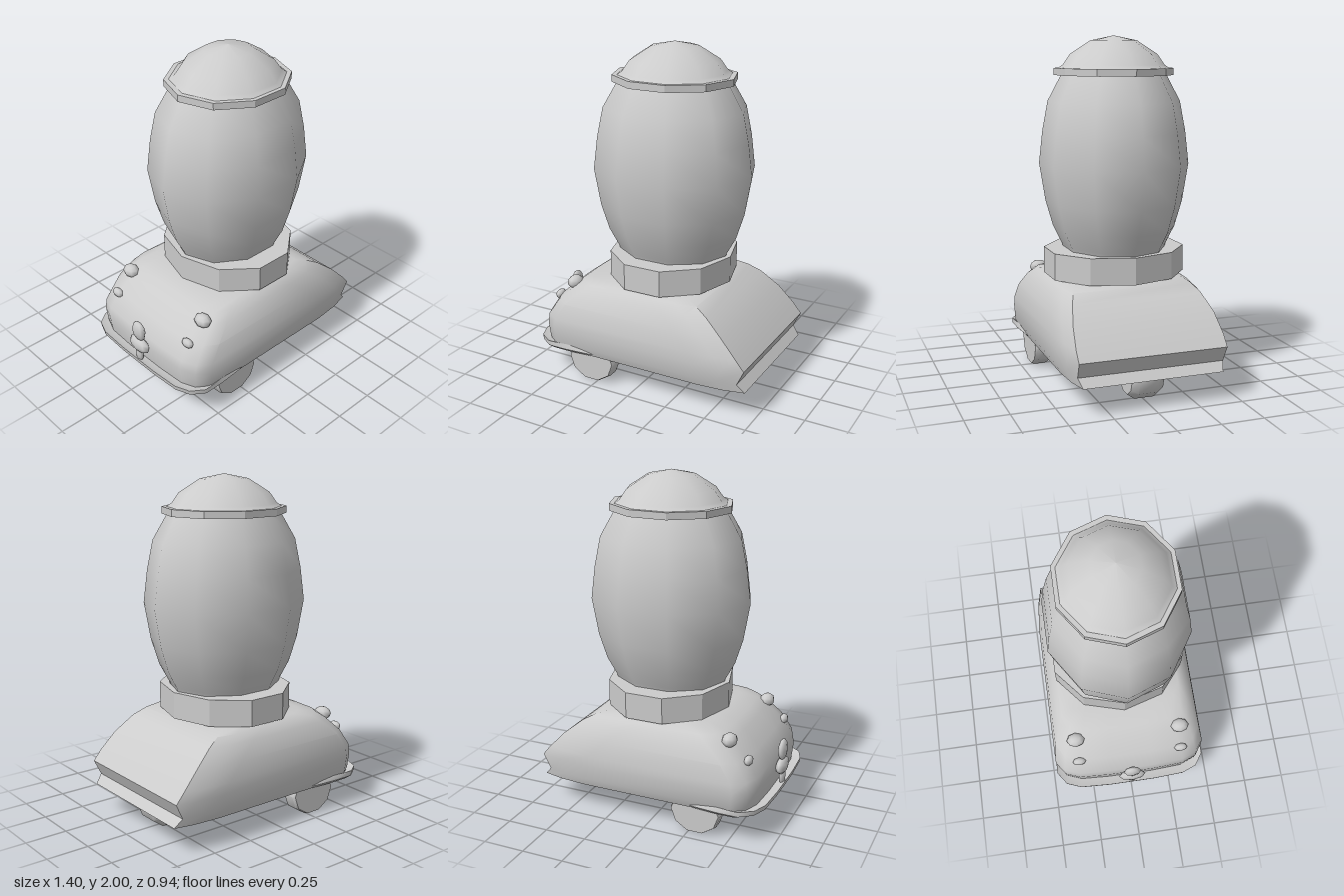
import * as THREE from 'three';
import { toCreasedNormals } from 'three/addons/utils/BufferGeometryUtils.js';

const grey = new THREE.MeshStandardMaterial({ color: 0xcccccc });
const SIDES = 10;
const TOWER_X = 0.042;

function add(parent, name, geometry, x = 0, y = 0, z = 0) {
  const mesh = new THREE.Mesh(geometry, grey);
  mesh.name = name;
  mesh.position.set(x, y, z);
  parent.add(mesh);
  return mesh;
}

// Ten-sided surface of revolution, squashed in z; profile is [radius, y], bottom to top
function turned(profile, depth) {
  const points = profile.map(([r, y]) => new THREE.Vector2(r, y));
  const g = new THREE.LatheGeometry(points, SIDES, Math.PI / 2);
  return g.scale(1, 1, depth);
}

// Ten-sided faceted band
function band(radiusX, radiusZ, height) {
  const g = new THREE.CylinderGeometry(1, 1, height, SIDES, 1, false, Math.PI / 2);
  return toCreasedNormals(g.scale(radiusX, 1, radiusZ), 0.4);
}

function blob(rx, ry, rz) {
  return new THREE.SphereGeometry(1, 8, 6).scale(rx, ry, rz);
}

function rod(radius, length, axis) {
  const g = new THREE.CylinderGeometry(radius, radius, length, 8);
  return axis === 'x' ? g.rotateZ(Math.PI / 2) : g.rotateX(Math.PI / 2);
}

// Closed loft through horizontal outlines: [y, xMin, xMax, half width]
function loft(levels, crease) {
  const rings = levels.map(([y, x0, x1, w]) => {
    const half = [[x1, 0.91 * w], [x1 - 0.12, 0.97 * w], [x1 - 0.28, w],
      [x0 + 0.12, w], [x0 + 0.045, 0.89 * w], [x0 + 0.01, 0.7 * w]];
    const mirrored = half.slice().reverse().map(([x, z]) => [x, -z]);
    return [...half, [x0, 0.3 * w], [x0, -0.3 * w], ...mirrored].map(([x, z]) => [x, y, z]);
  });
  const n = rings[0].length;
  const positions = rings.flat(2);
  const index = [];
  for (let j = 0; j < rings.length - 1; j++) {
    for (let i = 0; i < n; i++) {
      const a = j * n + i, b = j * n + (i + 1) % n;
      index.push(a, a + n, b, b, a + n, b + n);
    }
  }
  const first = rings.length * n, lastRing = first - n;
  const bottom = levels[0], top = levels[levels.length - 1];
  positions.push((bottom[1] + bottom[2]) / 2, bottom[0], 0, (top[1] + top[2]) / 2, top[0], 0);
  for (let i = 0; i < n; i++) {
    const k = (i + 1) % n;
    index.push(first, i, k, first + 1, lastRing + k, lastRing + i);
  }
  const g = new THREE.BufferGeometry();
  g.setAttribute('position', new THREE.Float32BufferAttribute(positions, 3));
  g.setIndex(index);
  return toCreasedNormals(g, 0.75);
}

// Wheel with its axle along z and rounded tread shoulders
function wheel(rx, ry, width, shoulder) {
  const h = width / 2;
  const profile = [[0, -h], [shoulder, -h], [1, -h * 0.6], [1, h * 0.6], [shoulder, h], [0, h]]
    .map(([r, y]) => new THREE.Vector2(r, y));
  const g = new THREE.LatheGeometry(profile, SIDES, Math.PI / 2).rotateX(Math.PI / 2);
  return toCreasedNormals(g.scale(rx, ry, 1), 0.7);
}

export function createModel() {
  const model = new THREE.Group();
  model.name = 'barrelCart';

  // Car shell, nose towards -x, with a flared tail lip
  add(model, 'carBody', loft([
    [0.17, -0.63, 0.70, 0.445],
    [0.22, -0.635, 0.657, 0.465],
    [0.31, -0.645, 0.70, 0.47],
    [0.37, -0.635, 0.65, 0.47],
    [0.47, -0.57, 0.555, 0.455],
    [0.56, -0.475, 0.445, 0.42],
    [0.6, -0.42, 0.37, 0.39],
    [0.625, -0.31, 0.30, 0.355],
  ]));

  // Front bumper lip
  add(model, 'bumper', loft([
    [0.165, -0.65, -0.15, 0.45],
    [0.185, -0.685, -0.17, 0.472],
    [0.215, -0.69, -0.25, 0.472],
    [0.2, -0.65, -0.3, 0.45],
  ]));

  // Nose ornament
  add(model, 'ornamentBase', blob(0.033, 0.05, 0.085), -0.667, 0.315);
  add(model, 'ornamentTop', blob(0.026, 0.065, 0.055), -0.667, 0.415);
  add(model, 'ornamentStem', blob(0.02, 0.06, 0.03), -0.668, 0.25);

  // Lamps
  for (const side of [1, -1]) {
    add(model, 'headlight', blob(0.045, 0.04, 0.056), -0.455, 0.57, side * 0.325);
    add(model, 'smallLamp', blob(0.025, 0.028, 0.042), -0.568, 0.465, side * 0.32);
  }

  // Tower: collar, barrel, rim and dome
  const tower = new THREE.Group();
  tower.name = 'tower';
  tower.position.x = TOWER_X;
  model.add(tower);
  add(tower, 'collar', band(0.367, 0.415, 0.155), 0, 0.7025);
  add(tower, 'barrel', turned([[0.33, 0.76], [0.345, 0.8], [0.4, 0.9], [0.448, 1.05],
    [0.487, 1.27], [0.463, 1.46], [0.427, 1.63], [0.335, 1.785]], 0.88));
  add(tower, 'rim', band(0.364, 0.342, 0.04), 0, 1.797);
  add(tower, 'dome', turned([[0.345, 1.81], [0.305, 1.835], [0.262, 1.895],
    [0.14, 1.972], [0, 2.0]], 0.95));

  // Undercarriage: two front wheels, one rear wheel, axles and rods
  for (const side of [1, -1]) {
    add(model, 'frontWheel', wheel(0.153, 0.137, 0.1, 0.95), -0.29, 0.135, side * 0.385);
    add(model, 'chassisRod', rod(0.014, 0.78, 'x'), 0.1, 0.15, side * 0.12);
  }
  add(model, 'rearWheel', wheel(0.137, 0.137, 0.19, 0.8), 0.495, 0.146, 0);
  add(model, 'frontAxle', rod(0.016, 0.74, 'z'), -0.29, 0.15, 0);
  add(model, 'rearAxle', rod(0.016, 0.27, 'z'), 0.49, 0.15, 0);

  return model;
}
